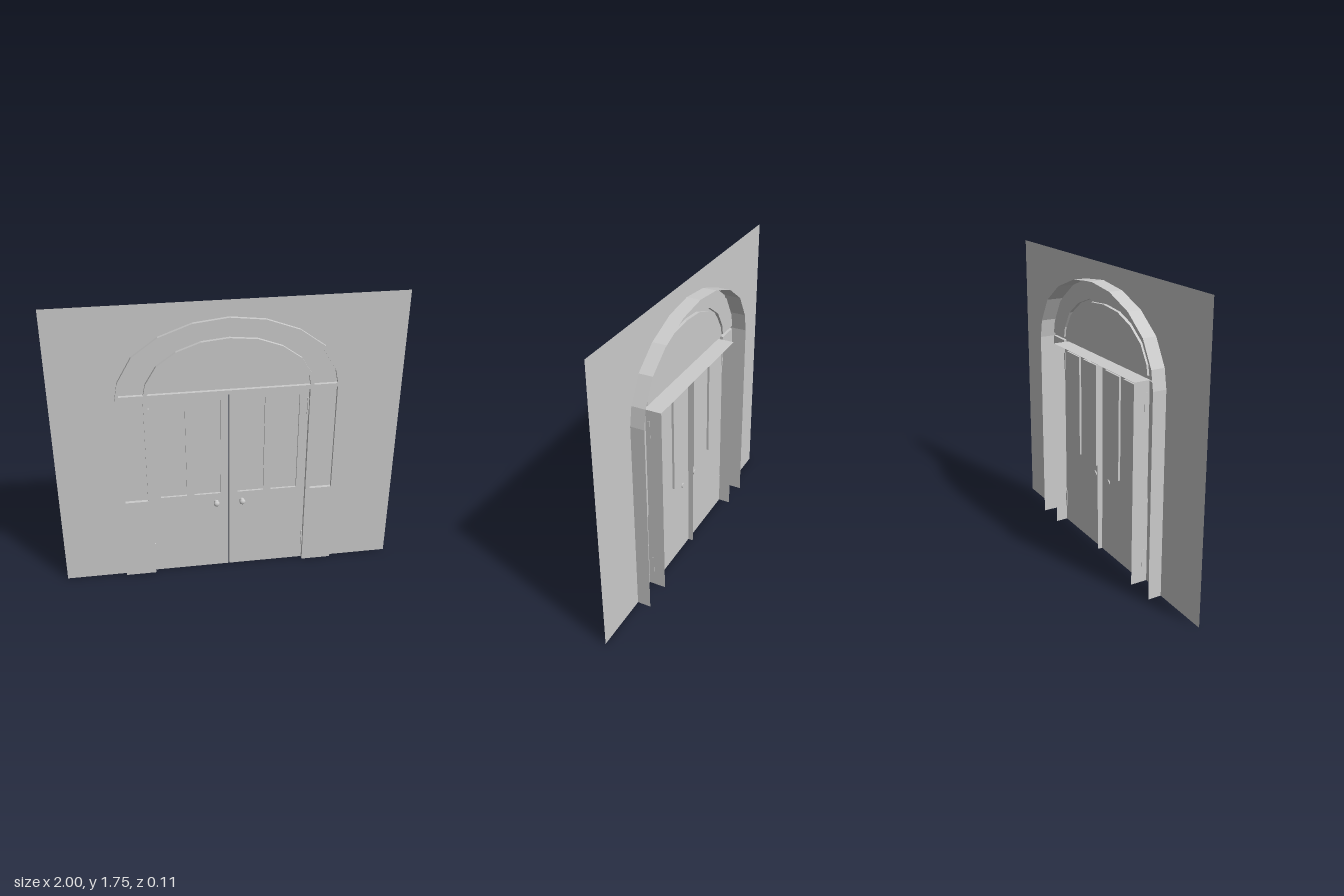
import * as THREE from 'three';

const material = new THREE.MeshStandardMaterial({ color: 0xcccccc, side: THREE.DoubleSide, flatShading: true });
const smooth = new THREE.MeshStandardMaterial({ color: 0xcccccc, side: THREE.DoubleSide });

// Depths of the layers
const FRONT = 0.047, WALL = 0.027, DOOR = 0.02, PANEL = 0.007, BACK = -0.054;

// Right halves of the arch lines, from springing to crown
const OUTER = [[0.64, 1.2], [0.62, 1.31], [0.537, 1.455], [0.39, 1.562], [0.2, 1.632], [0, 1.655]];
const OUTER_IN = [[0.618, 1.225], [0.602, 1.304], [0.523, 1.442], [0.381, 1.546], [0.196, 1.614], [0, 1.636]];
const INNER_OUT = [[0.482, 1.225], [0.468, 1.29], [0.405, 1.393], [0.294, 1.472], [0.157, 1.522], [0, 1.538]];
const INNER_IN = [[0.461, 1.225], [0.45, 1.283], [0.39, 1.38], [0.283, 1.456], [0.152, 1.504], [0, 1.518]];

const arch = (half) => [...half, ...half.slice(0, -1).reverse().map(([x, y]) => [-x, y])];
const rect = (x0, x1, y0, y1) => [[x0, y0], [x1, y0], [x1, y1], [x0, y1]];
const toVectors = (points) => points.map(([x, y]) => new THREE.Vector2(x, y));

function add(parent, name, geometry, mat = material) {
  const mesh = new THREE.Mesh(geometry, mat);
  mesh.name = name;
  parent.add(mesh);
  return mesh;
}

// Flat sheet facing the front, with optional openings
function sheet(parent, name, outline, z, holes = []) {
  const shape = new THREE.Shape(toVectors(outline));
  shape.holes = holes.map((hole) => new THREE.Path(toVectors(hole)));
  return add(parent, name, new THREE.ShapeGeometry(shape).translate(0, 0, z));
}

// Strip that follows a line in x and y and runs from z0 to z1
function strip(parent, name, line, z0, z1, closed = false) {
  const points = closed ? [...line, line[0]] : line;
  const positions = [];
  for (let i = 0; i + 1 < points.length; i++) {
    const [a, b] = [points[i], points[i + 1]];
    positions.push(...a, z0, ...b, z0, ...b, z1, ...a, z0, ...b, z1, ...a, z1);
  }
  const geometry = new THREE.BufferGeometry();
  geometry.setAttribute('position', new THREE.Float32BufferAttribute(positions, 3));
  geometry.computeVertexNormals();
  return add(parent, name, geometry);
}

function createDoor(side) {
  const door = new THREE.Group();
  door.name = side > 0 ? 'leftDoor' : 'rightDoor';
  const span = (x0, x1, y0, y1) => rect(side * x0, side * x1, y0, y1);

  // Leaf with two tall recessed panels
  const panels = [span(0.05, 0.207, 0.53, 1.155), span(0.252, 0.408, 0.53, 1.155)];
  sheet(door, 'leaf', span(0.003, 0.46, 0, 1.2), DOOR, panels);
  for (const panel of panels) {
    strip(door, 'panelReveal', panel, PANEL, DOOR, true);
    sheet(door, 'panel', panel, PANEL);
  }
  strip(door, 'meetingEdge', [[side * 0.003, 0], [side * 0.003, 1.2]], -0.008, DOOR);

  // Knob on a neck that passes through the leaf
  const knob = new THREE.Group();
  knob.name = 'knob';
  knob.position.set(side * 0.078, 0.47, 0);
  const neck = new THREE.CylinderGeometry(0.009, 0.016, 0.025, 16).rotateX(Math.PI / 2);
  add(knob, 'neck', neck.translate(0, 0, 0.028), smooth);
  const ball = new THREE.SphereGeometry(0.018, 16, 10).scale(1, 1, 0.75);
  add(knob, 'ball', ball.translate(0, 0, 0.041), smooth);
  const rose = new THREE.CylinderGeometry(0.016, 0.016, 0.008, 16).rotateX(Math.PI / 2);
  add(knob, 'backRose', rose.translate(0, 0, 0.017), smooth);
  door.add(knob);

  // Hinges set into the jamb
  for (const y of [0.15, 1.08]) {
    add(door, 'hinge', new THREE.BoxGeometry(0.011, 0.105, 0.014).translate(side * 0.457, y, 0.022));
  }
  return door;
}

export function createModel() {
  const model = new THREE.Group();
  model.name = 'archedDoorway';

  // Wall cut out around the whole doorway
  const surround = [[0.64, 0], ...arch(OUTER), [-0.64, 0]];
  sheet(model, 'wall', [[-1, 0], [-1, 1.75], [1, 1.75], [1, 0], ...surround], WALL);

  // Frame front with openings for the glass
  const opening = [[-0.46, 0], [-0.46, 1.2], [0.46, 1.2], [0.46, 0]];
  const panes = {
    fanlight: arch(INNER_IN),
    archLight: [...arch(OUTER_IN), ...arch(INNER_OUT).reverse()],
    leftSidelight: rect(0.485, 0.618, 0.53, 1.205),
    rightSidelight: rect(-0.618, -0.485, 0.53, 1.205),
  };
  const frame = new THREE.Group();
  frame.name = 'frame';
  model.add(frame);
  sheet(frame, 'frameFront', [...surround, ...opening], FRONT, Object.values(panes));
  strip(frame, 'outerLining', surround, BACK, FRONT);
  strip(frame, 'doorJamb', opening, BACK, FRONT);

  // Recessed panes
  for (const [name, outline] of Object.entries(panes)) {
    strip(frame, name + 'Reveal', outline, WALL, FRONT, true);
    sheet(model, name, outline, WALL);
  }

  // Pair of doors
  for (const side of [1, -1]) model.add(createDoor(side));
  return model;
}
